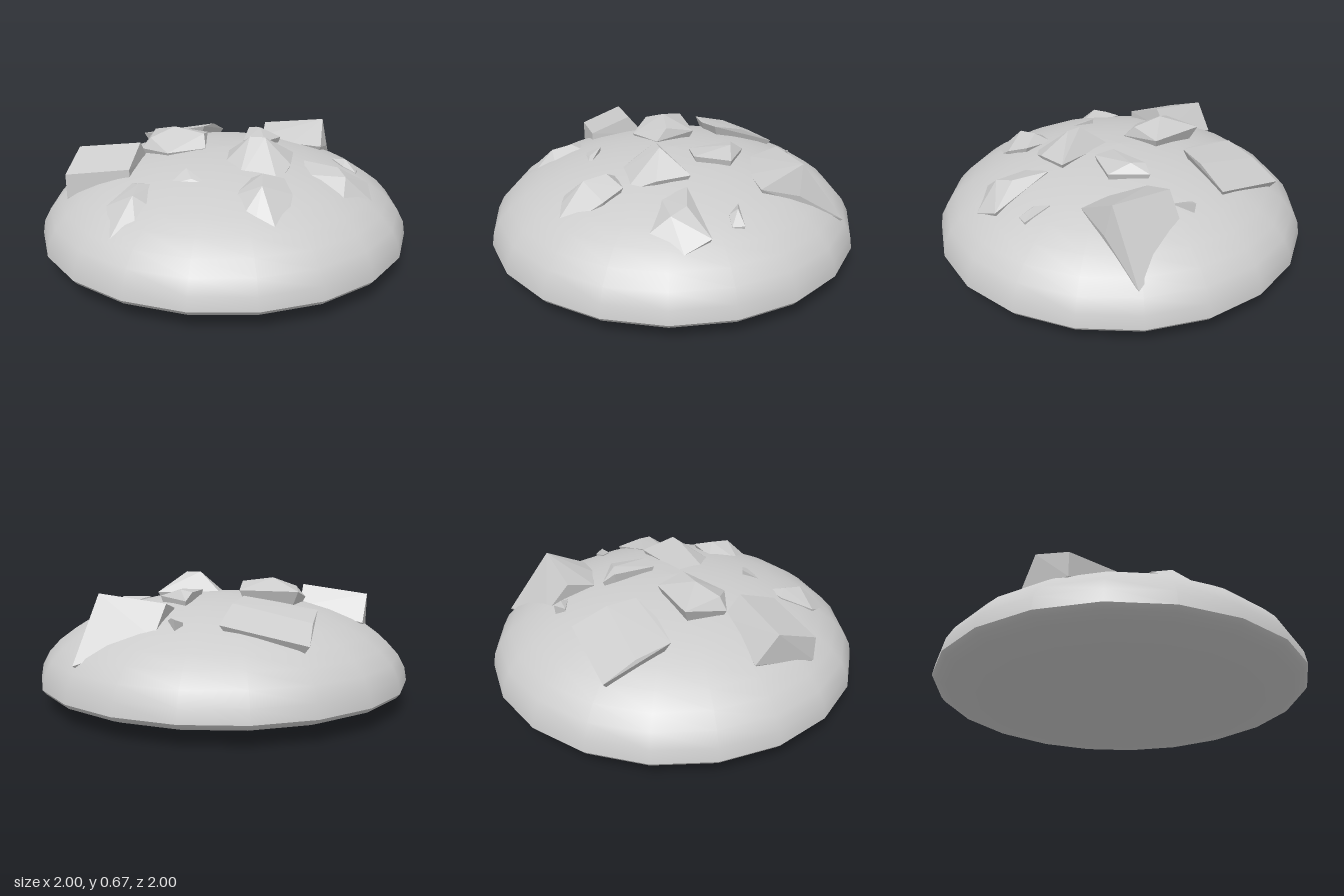
import * as THREE from 'three';
import { ConvexGeometry } from 'three/addons/geometries/ConvexGeometry.js';

const RIM = 0.12;
const material = new THREE.MeshStandardMaterial({ color: 0xcccccc });
const flatMaterial = new THREE.MeshStandardMaterial({ color: 0xcccccc, flatShading: true });

// Quarter-ellipse of revolution between two angles, 20 sides
function ellipticShell(name, height, from, to, steps) {
  const profile = [];
  for (let i = 0; i <= steps; i++) {
    const a = from + (to - from) * i / steps;
    profile.push(new THREE.Vector2(Math.max(0, Math.cos(a)), RIM + height * Math.sin(a)));
  }
  const mesh = new THREE.Mesh(new THREE.LatheGeometry(profile, 20), material);
  mesh.name = name;
  return mesh;
}

// Faceted chunk: the exposed corners plus a narrowed copy sunk into the dome
function chunk(name, corners) {
  const points = corners.map(c => new THREE.Vector3(...c));
  const centre = new THREE.Vector3();
  points.forEach(p => centre.addScaledVector(p, 1 / points.length));
  const roots = points.map(p => {
    const r = p.clone().lerp(centre, 0.25);
    r.y -= 0.1;
    return r;
  });
  const mesh = new THREE.Mesh(new ConvexGeometry([...points, ...roots]), flatMaterial);
  mesh.name = name;
  return mesh;
}

// Corners of each chunk as [x, y, z]
const chunks = {
  backLeftSlab: [
    [-0.53, 0.41, -0.67], [-0.11, 0.49, -0.64], [-0.17, 0.59, -0.31], [-0.35, 0.56, -0.29],
    [-0.54, 0.53, -0.32], [-0.53, 0.49, -0.5], [-0.14, 0.57, -0.46],
  ],
  backRightBlock: [
    [0.17, 0.57, -0.54], [0.52, 0.61, -0.52], [0.57, 0.29, -0.75], [0.2, 0.42, -0.66],
    [0.17, 0.53, -0.39], [0.35, 0.51, -0.31], [0.52, 0.5, -0.3], [0.55, 0.45, -0.5],
  ],
  leftBlock: [
    [-0.78, 0.565, 0.12], [-0.43, 0.61, 0.14], [-0.78, 0.48, 0.35], [-0.43, 0.53, 0.36],
    [-0.78, 0.35, 0.35], [-0.43, 0.46, 0.36], [-0.76, 0.42, 0.01], [-0.42, 0.5, 0.05],
  ],
  centreLeftChunk: [
    [-0.43, 0.6, -0.18], [-0.12, 0.6, -0.16], [-0.28, 0.66, -0.03], [-0.11, 0.635, 0],
    [-0.4, 0.61, 0.04], [-0.09, 0.57, 0.06], [-0.28, 0.56, 0.15], [-0.45, 0.55, 0.05],
  ],
  centreBackWedge: [
    [0.12, 0.56, -0.36], [0.29, 0.57, -0.23], [0.22, 0.59, -0.05], [0.1, 0.59, -0.06],
    [0.1, 0.6, -0.3], [0.17, 0.61, -0.27],
  ],
  centreRightChunk: [
    [0.03, 0.56, 0.06], [0.38, 0.56, 0.02], [0.38, 0.55, 0.2], [0.33, 0.49, 0.35],
    [0.13, 0.5, 0.36], [0.03, 0.54, 0.22], [0.16, 0.67, 0.14], [0.24, 0.67, 0.14],
  ],
  rightChunk: [
    [0.44, 0.53, 0.06], [0.78, 0.42, 0.05], [0.8, 0.37, 0.19], [0.65, 0.38, 0.37],
    [0.46, 0.5, 0.2], [0.62, 0.52, 0.12], [0.66, 0.5, 0.21],
  ],
  frontRightChunk: [
    [0.19, 0.52, 0.36], [0.36, 0.53, 0.36], [0.41, 0.49, 0.47], [0.12, 0.48, 0.52],
    [0.26, 0.57, 0.42], [0.27, 0.55, 0.54], [0.4, 0.4, 0.62], [0.17, 0.4, 0.68],
    [0.25, 0.37, 0.72], [0.36, 0.38, 0.7],
  ],
  frontLeftChunk: [
    [-0.39, 0.49, 0.44], [-0.28, 0.49, 0.44], [-0.22, 0.42, 0.61], [-0.48, 0.42, 0.59],
    [-0.34, 0.51, 0.5], [-0.34, 0.49, 0.61], [-0.41, 0.33, 0.77], [-0.28, 0.34, 0.77],
  ],
  frontShard: [
    [-0.2, 0.5, 0.46], [-0.13, 0.56, 0.37], [-0.09, 0.53, 0.44], [0.01, 0.505, 0.47],
  ],
  backShard: [
    [0.07, 0.49, -0.6], [0.1, 0.51, -0.65], [0.13, 0.51, -0.6], [0.16, 0.49, -0.55],
  ],
  rightShard: [
    [0.59, 0.48, -0.15], [0.66, 0.49, -0.12], [0.73, 0.43, -0.13], [0.72, 0.43, -0.07], [0.65, 0.46, -0.08],
  ],
};

export function createModel() {
  const model = new THREE.Group();
  model.name = 'toppedBun';

  // Domed top and shallow underside meeting at a crisp rim
  model.add(ellipticShell('dome', 0.45, 0, Math.PI / 2, 10));
  model.add(ellipticShell('underside', RIM, -Math.PI / 2, 0, 8));

  // Chunks scattered over the dome
  const topping = new THREE.Group();
  topping.name = 'topping';
  for (const [name, corners] of Object.entries(chunks)) topping.add(chunk(name, corners));
  model.add(topping);
  return model;
}
